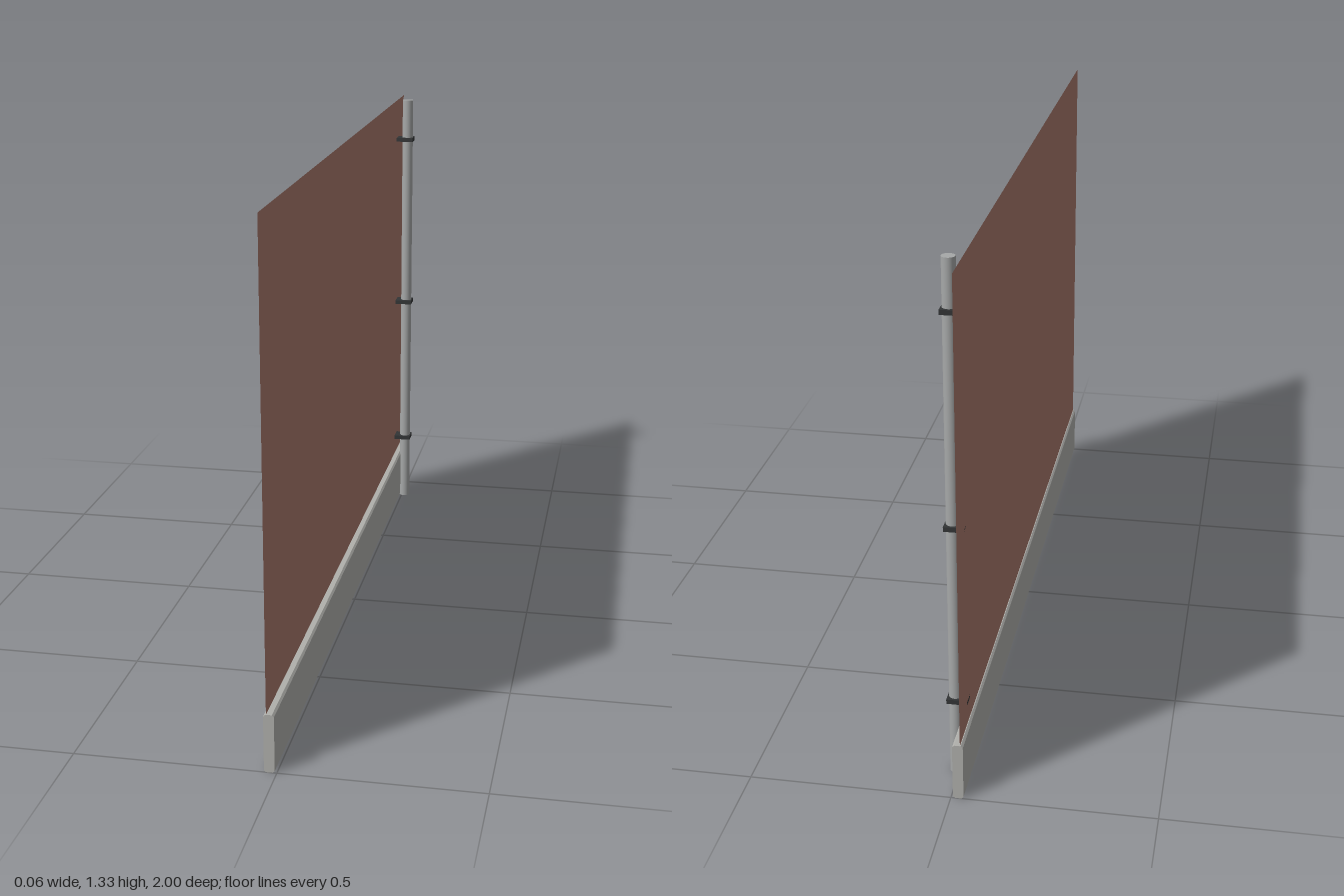
import * as THREE from 'three';

const mat = (name, color, side = THREE.FrontSide) => {
  const m = new THREE.MeshStandardMaterial({ color, side });
  m.name = name;
  return m;
};

export function createModel() {
  const group = new THREE.Group();
  group.name = 'wallWithDownpipe';
  const brick = mat('brick red', 0xa9786b, THREE.DoubleSide);
  const stone = mat('plinth grey', 0xb0b0ac);
  const metal = mat('pipe grey', 0xa6a8a8);
  const dark = mat('bracket black', 0x333536);

  const add = (name, geometry, material, x, y, z) => {
    const mesh = new THREE.Mesh(geometry, material);
    mesh.name = name;
    mesh.position.set(x, y, z);
    group.add(mesh);
    return mesh;
  };

  const top = 1.333, plinthTop = 0.15, wallX = -0.024;

  // Wall: a single sheet facing sideways, reaching behind the plinth
  const wall = add('wall', new THREE.PlaneGeometry(2, top - 0.01), brick, wallX, (top + 0.01) / 2, 0);
  wall.rotation.y = Math.PI / 2;

  // Plinth: chamfered strip running along z
  const x0 = -0.031, x1 = -0.005, c = 0.005;
  const profile = new THREE.Shape([
    [x0 + c, 0], [x1 - c, 0], [x1, c], [x1, plinthTop - c],
    [x1 - c, plinthTop], [x0 + c, plinthTop], [x0, plinthTop - c], [x0, c],
  ].map(([x, y]) => new THREE.Vector2(x, y)));
  add('plinth', new THREE.ExtrudeGeometry(profile, { depth: 2, bevelEnabled: false }), stone, 0, 0, -1);

  // Downpipe with its wall brackets
  const pipeX = 0.008, pipeZ = -0.884;
  add('downpipe', new THREE.CylinderGeometry(0.0165, 0.0165, top, 24), metal, pipeX, top / 2, pipeZ);
  for (const y of [0.208, 0.676, 1.209]) {
    add('pipeBracket', new THREE.BoxGeometry(0.051, 0.012, 0.046), dark, 0.0015, y, pipeZ);
  }
  return group;
}
